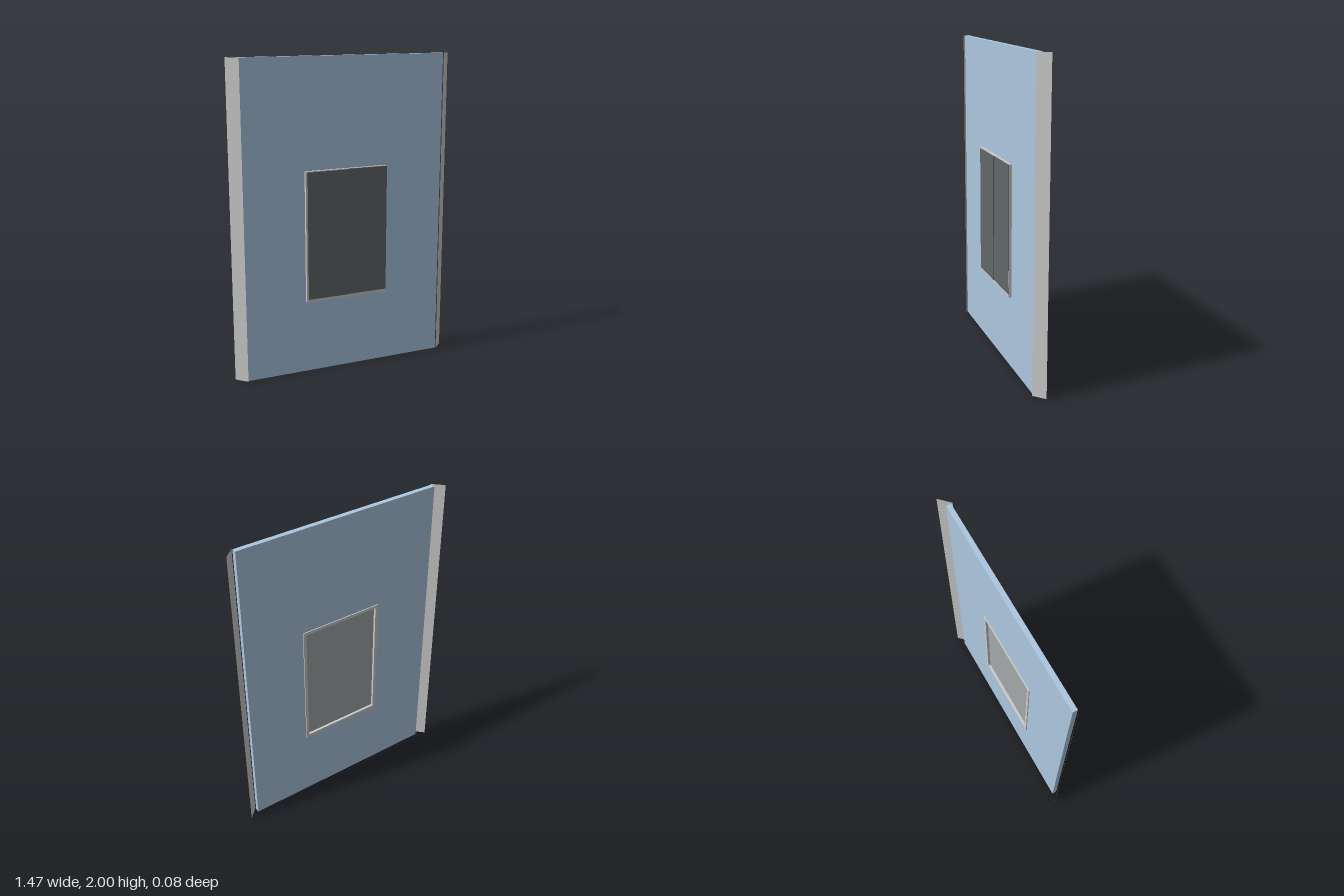
import * as THREE from 'three';

const grey = new THREE.MeshStandardMaterial({ color: 0xcccccc });
const greyThin = new THREE.MeshStandardMaterial({ color: 0xcccccc, side: THREE.DoubleSide });
const blue = new THREE.MeshStandardMaterial({ color: 0xacc7e0 });
const dark = new THREE.MeshStandardMaterial({ color: 0x606867 });
const paneGrey = new THREE.MeshStandardMaterial({ color: 0xa4a8a8 });

// Rectangular slab with a rectangular hole; rectangles are [x0, y0, x1, y1]
function ring(outer, inner, z0, z1) {
  const corners = ([x0, y0, x1, y1]) =>
    [[x0, y0], [x1, y0], [x1, y1], [x0, y1]].map(([x, y]) => new THREE.Vector2(x, y));
  const shape = new THREE.Shape(corners(outer));
  shape.holes.push(new THREE.Path(corners(inner).reverse()));
  return new THREE.ExtrudeGeometry(shape, { depth: z1 - z0, bevelEnabled: false }).translate(0, 0, z0);
}

function slab([x0, y0, x1, y1], z0, z1) {
  return new THREE.BoxGeometry(x1 - x0, y1 - y0, z1 - z0)
    .translate((x0 + x1) / 2, (y0 + y1) / 2, (z0 + z1) / 2);
}

export function createModel() {
  const model = new THREE.Group();
  const add = (name, geometry, material) => {
    const mesh = new THREE.Mesh(geometry, material);
    mesh.name = name;
    model.add(mesh);
    return mesh;
  };

  const opening = [-0.275, 0.47, 0.275, 1.31];
  const inside = [-0.255, 0.49, 0.255, 1.29];

  // Wall panel and window surround
  add('wallPanel', ring([-0.67, 0, 0.67, 2], opening, -0.03, 0), blue);
  add('windowFrame', ring(opening, inside, -0.036, 0.018), grey);
  add('windowPane', slab(inside, -0.02, -0.014), paneGrey);

  // Two shutter leaves, one lapping slightly over the other
  add('rightShutter', slab([-0.265, 0.49, 0, 1.305], 0.016, 0.026), dark);
  add('leftShutter', slab([0, 0.49, 0.274, 1.308], 0.012, 0.021), dark);

  // Thin side flanges folded back at 45 degrees
  for (const side of [-1, 1]) {
    const flange = add(side > 0 ? 'leftFlange' : 'rightFlange',
      new THREE.PlaneGeometry(0.065 * Math.SQRT2, 2), greyThin);
    flange.position.set(side * 0.7025, 1, -0.0225);
    flange.rotation.y = side * Math.PI / 4;
  }
  return model;
}
